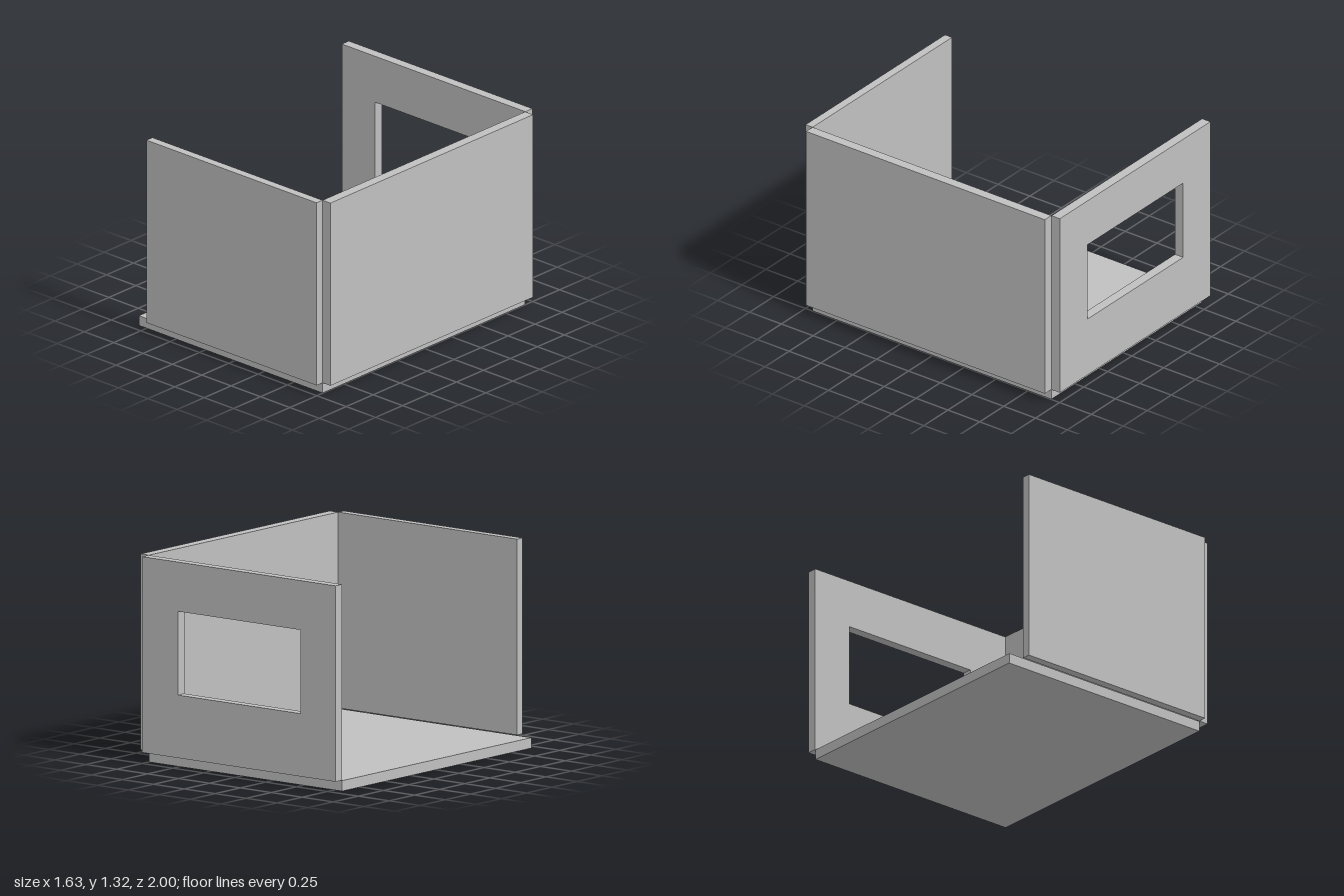
import * as THREE from 'three';

export function createModel() {
  const model = new THREE.Group();
  model.name = 'openRoom';
  const grey = new THREE.MeshStandardMaterial({ color: 0xc0c0c0 });
  grey.name = 'light grey';

  // Box panel given by its minimum and maximum corners
  function panel(name, [x0, y0, z0], [x1, y1, z1]) {
    const mesh = new THREE.Mesh(new THREE.BoxGeometry(x1 - x0, y1 - y0, z1 - z0), grey);
    mesh.position.set((x0 + x1) / 2, (y0 + y1) / 2, (z0 + z1) / 2);
    mesh.name = name;
    model.add(mesh);
  }

  const rectangle = (path, x0, y0, x1, y1) =>
    path.moveTo(x0, y0).lineTo(x1, y0).lineTo(x1, y1).lineTo(x0, y1).closePath();

  const base = 0.07, top = 1.32;

  // Floor slab and the two plain walls, each butted against the slab's edges
  panel('floor', [-0.815, 0, -0.933], [0.748, 0.067, 0.945]);
  panel('frontWall', [-0.7, base, 0.945], [0.748, top, 1]);
  panel('leftWall', [0.748, base, -0.933], [0.815, top, 0.945]);

  // Back wall with a window opening
  const outline = new THREE.Shape();
  rectangle(outline, -0.815, base, 0.748, top);
  const opening = new THREE.Path();
  rectangle(opening, -0.533, 0.471, 0.46, 1.005);
  outline.holes.push(opening);
  const backWall = new THREE.Mesh(
    new THREE.ExtrudeGeometry(outline, { depth: 0.065, bevelEnabled: false }), grey);
  backWall.position.z = -1;
  backWall.name = 'backWallWithWindow';
  model.add(backWall);

  return model;
}
